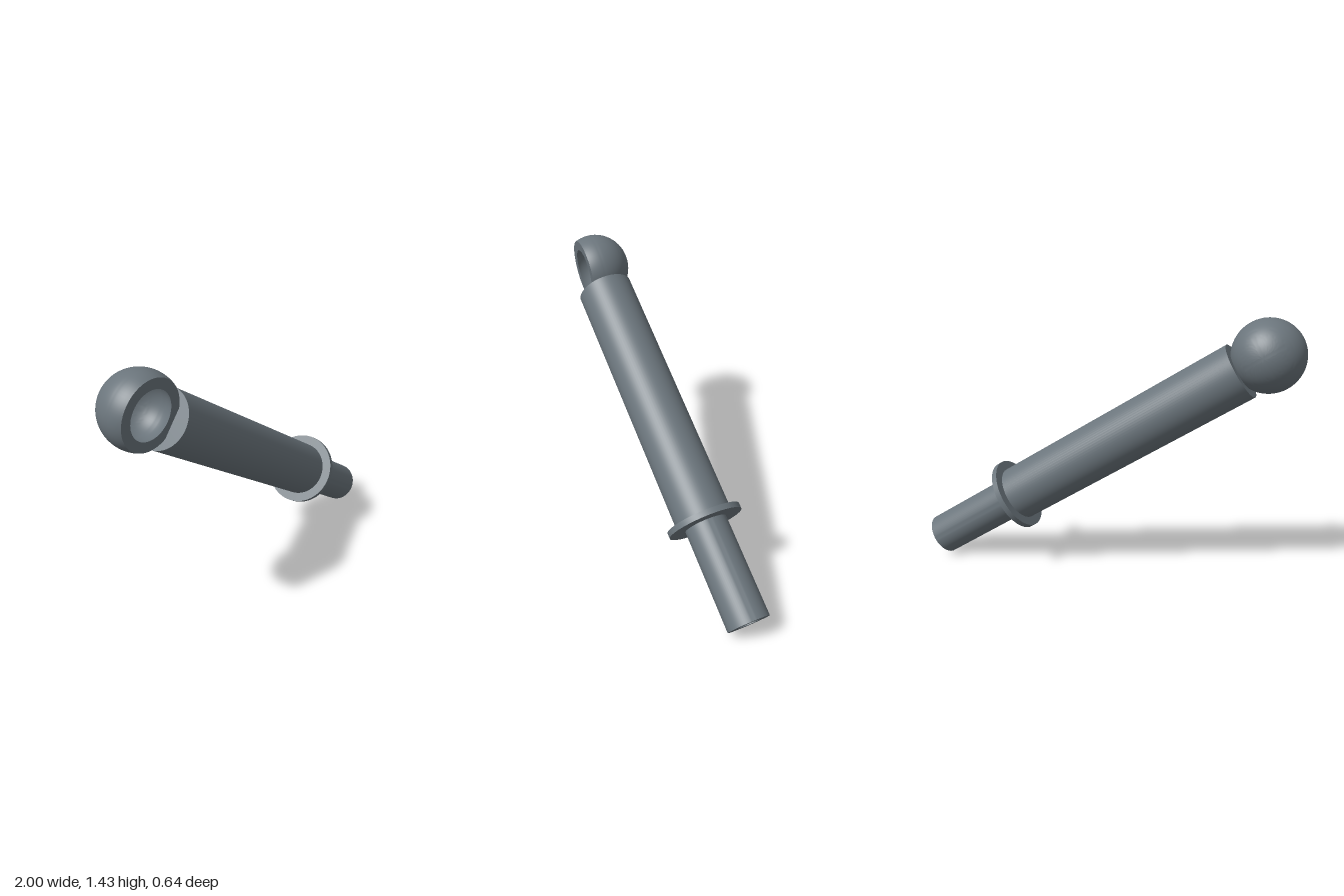
import * as THREE from 'three';
import { toCreasedNormals } from 'three/addons/utils/BufferGeometryUtils.js';

const material = new THREE.MeshStandardMaterial({ color: 0x6b757c });

// Revolved part with crisp edges; profile is a list of [radius, height]
function revolve(name, profile) {
  const points = profile.map(([r, h]) => new THREE.Vector2(r, h));
  const geometry = toCreasedNormals(new THREE.LatheGeometry(points, 72), 0.6);
  const mesh = new THREE.Mesh(geometry, material);
  mesh.name = name;
  return mesh;
}

// Arc of a circle around the origin; angles are measured from the equator
function arc(radius, from, to, steps) {
  const points = [];
  for (let i = 0; i <= steps; i++) {
    const a = from + ((to - from) * i) / steps;
    points.push([Math.max(0, radius * Math.cos(a)), radius * Math.sin(a)]);
  }
  return points;
}

export function createModel() {
  const model = new THREE.Group();
  model.name = 'rod';

  // Everything sits on one slanted axis (local y), starting at the lower tip
  const start = new THREE.Vector3(0.935, 0.098, -0.212);
  const axis = new THREE.Vector3(-0.819, 0.54, 0.194).normalize();
  const facing = new THREE.Vector3(0, 0, 1).addScaledVector(axis, -axis.z).normalize();
  const side = new THREE.Vector3().crossVectors(axis, facing);
  const assembly = new THREE.Group();
  assembly.name = 'assembly';
  assembly.quaternion.setFromRotationMatrix(new THREE.Matrix4().makeBasis(side, axis, facing));
  assembly.position.copy(start);
  model.add(assembly);

  // Narrow tip with a bore in its end
  assembly.add(revolve('tip', [
    [0, 0.5], [0.058, 0.5], [0.058, 0], [0.112, 0], [0.112, 0.55], [0, 0.55],
  ]));

  // Thin collar between tip and shaft
  assembly.add(revolve('collar', [
    [0, 0.535], [0.198, 0.535], [0.198, 0.565], [0, 0.565],
  ]));

  // Thick shaft
  assembly.add(revolve('shaft', [
    [0, 0.55], [0.149, 0.55], [0.149, 1.983], [0, 1.983],
  ]));

  // Ball end, cut flat on the front and hollowed into a socket
  const outer = 0.185, inner = 0.139, cut = 0.07;
  const socket = revolve('ballSocket', [
    ...arc(outer, -Math.PI / 2, Math.asin(cut / outer), 32),
    ...arc(inner, Math.asin(cut / inner), -Math.PI / 2, 32),
  ]);
  socket.rotation.x = Math.PI / 2;
  socket.position.y = 2.137;
  assembly.add(socket);

  return model;
}
